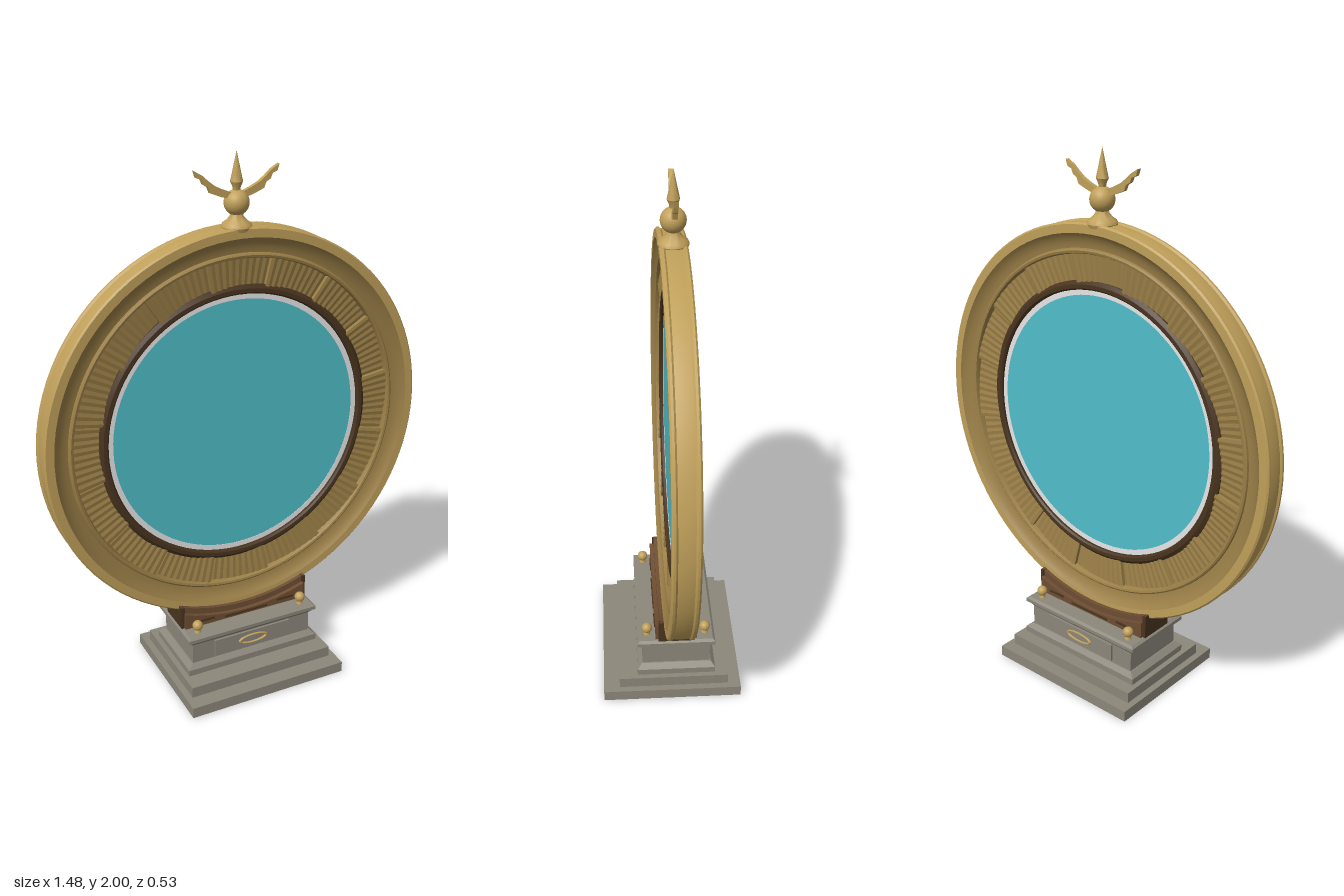
import * as THREE from 'three';
import { toCreasedNormals } from 'three/addons/utils/BufferGeometryUtils.js';

const material = (name, color, side = THREE.FrontSide) => {
  const m = new THREE.MeshStandardMaterial({ color, side });
  m.name = name;
  return m;
};

export function createModel() {
  const gold = material('gold', 0xc0a05a);
  const agedGold = material('aged gold', 0x9c8048, THREE.DoubleSide);
  const stone = material('grey stone', 0x8c877b);
  const wood = material('brown wood', 0x6e4e33);
  const darkWood = material('dark wood', 0x49341f);
  const white = material('white', 0xffffff);
  const teal = material('teal glass', 0x50bdc9);

  const root = new THREE.Group();
  const ringGroup = new THREE.Group();
  ringGroup.name = 'ring';
  const ZC = -0.017, CY = 1.01;
  ringGroup.position.set(0, CY, ZC);
  root.add(ringGroup);

  const add = (parent, name, geo, mat, x = 0, y = 0, z = 0) => {
    const m = new THREE.Mesh(geo, mat);
    m.name = name;
    m.position.set(x, y, z);
    parent.add(m);
    return m;
  };
  const lathe = (pts, seg = 96, crease = 0.6) =>
    toCreasedNormals(new THREE.LatheGeometry(pts.map(p => new THREE.Vector2(...p)), seg), crease);
  // Lathe whose axis is z
  const hoop = pts => lathe(pts).rotateX(Math.PI / 2);

  // Outer rim: lipped edge, closed around the back
  add(ringGroup, 'outerRim', hoop([
    [0.705, -0.048], [0.735, -0.048], [0.741, -0.042], [0.741, -0.034], [0.735, -0.028],
    [0.738, 0], [0.735, 0.028], [0.741, 0.034], [0.741, 0.042], [0.735, 0.048], [0.705, 0.048],
  ]), gold);

  // Both faces are alike: the back is the front turned half round
  for (const side of [0, 1]) {
    const face = new THREE.Group();
    face.name = side ? 'backFace' : 'frontFace';
    face.rotation.y = side * Math.PI;
    ringGroup.add(face);
    add(face, 'cove', hoop([
      [0.706, 0.048], [0.698, 0.041], [0.685, 0.033], [0.667, 0.026], [0.65, 0.024],
    ]), agedGold);
    add(face, 'innerBead', hoop([
      [0.65, 0.022], [0.648, 0.031], [0.642, 0.035], [0.634, 0.033], [0.63, 0.024], [0.627, 0.004],
    ]), agedGold);
    add(face, 'flutedPanels', flutedPanels(16, 0.525, 0.632), agedGold);
  }

  add(ringGroup, 'innerBand', hoop([
    [0.502, -0.018], [0.508, -0.024], [0.522, -0.024], [0.535, -0.014],
    [0.535, 0.014], [0.522, 0.024], [0.508, 0.024], [0.502, 0.018], [0.502, -0.018],
  ]), darkWood);
  add(ringGroup, 'whiteBand', hoop([
    [0.482, -0.009], [0.506, -0.009], [0.506, 0.009], [0.482, 0.009], [0.482, -0.009],
  ]), white);
  add(ringGroup, 'glassDisc', new THREE.CylinderGeometry(0.484, 0.484, 0.016, 96).rotateX(Math.PI / 2), teal);

  // Stone pedestal: stacked straight and tapered blocks [w0, d0, w1, d1, y0, y1, z]
  const block = (w0, d0, w1, d1, h) => {
    const g = new THREE.BoxGeometry(1, h, 1).toNonIndexed();
    const p = g.attributes.position;
    for (let i = 0; i < p.count; i++) {
      const top = p.getY(i) > 0;
      p.setX(i, p.getX(i) * (top ? w1 : w0));
      p.setZ(i, p.getZ(i) * (top ? d1 : d0));
    }
    g.computeVertexNormals();
    return g;
  };
  [
    [0.64, 0.53, 0.64, 0.53, 0, 0.042, 0],
    [0.59, 0.42, 0.59, 0.42, 0.042, 0.084, -0.006],
    [0.55, 0.3, 0.55, 0.3, 0.084, 0.108, ZC],
    [0.55, 0.3, 0.51, 0.268, 0.108, 0.125, ZC],
    [0.5, 0.26, 0.5, 0.26, 0.125, 0.205, ZC],
    [0.5, 0.26, 0.535, 0.29, 0.205, 0.224, ZC],
    [0.545, 0.297, 0.545, 0.297, 0.224, 0.238, ZC],
    [0.545, 0.297, 0.525, 0.28, 0.238, 0.246, ZC],
  ].forEach(([w0, d0, w1, d1, y0, y1, z], i) =>
    add(root, 'pedestalTier' + (i + 1), block(w0, d0, w1, d1, y1 - y0), stone, 0, (y0 + y1) / 2, z));

  for (const s of [1, -1]) {
    add(root, 'pedestalPanel', new THREE.BoxGeometry(0.32, 0.07, 0.009), stone, 0, 0.167, ZC + s * 0.133);
    const oval = add(root, 'ovalOrnament', new THREE.TorusGeometry(0.056, 0.006, 8, 40), gold, 0, 0.17, ZC + s * 0.14);
    oval.scale.y = 0.3;
    // Corner knobs
    for (const x of [-0.22, 0.22]) {
      add(root, 'knobNeck', new THREE.CylinderGeometry(0.008, 0.014, 0.02, 16), gold, x, 0.252, ZC + s * 0.111);
      add(root, 'knob', new THREE.SphereGeometry(0.02, 20, 14), gold, x, 0.275, ZC + s * 0.111);
    }
  }

  // Wooden cradle with an arched seat for the ring
  const cradle = (half, radius, depth) => {
    const a = Math.asin(half / radius);
    const s = new THREE.Shape();
    s.moveTo(-half, 0.245);
    s.lineTo(half, 0.245);
    s.absarc(0, CY, radius, -Math.PI / 2 + a, -Math.PI / 2 - a, true);
    s.closePath();
    return new THREE.ExtrudeGeometry(s, { depth, bevelEnabled: false, curveSegments: 24 })
      .translate(0, 0, -depth / 2);
  };
  add(root, 'cradle', cradle(0.265, 0.722, 0.126), wood, 0, 0, ZC);
  add(root, 'cradleRail', cradle(0.255, 0.745, 0.158), wood, 0, 0, ZC);
  for (const s of [1, -1]) {
    for (const x of [-0.17, 0.17])
      add(root, 'cradleInlay', new THREE.BoxGeometry(0.07, 0.008, 0.006), darkWood, x, 0.268, ZC + s * 0.08);
    add(root, 'cradleInlay', new THREE.BoxGeometry(0.18, 0.007, 0.006), darkWood, 0, 0.258, ZC + s * 0.08);
    for (const x of [-0.26, 0.26])
      add(root, 'cradlePost', new THREE.BoxGeometry(0.014, 0.09, 0.136), darkWood, x, 0.29, ZC);
  }

  // Finial: turned foot, ball, spike and two side blades
  const finial = new THREE.Group();
  finial.name = 'finial';
  finial.position.z = ZC;
  root.add(finial);
  add(finial, 'finialFoot', lathe([
    [0, 1.735], [0.05, 1.735], [0.054, 1.748], [0.05, 1.758], [0.036, 1.768], [0.024, 1.782], [0.02, 1.8], [0, 1.8],
  ], 32), gold);
  add(finial, 'finialBall', new THREE.SphereGeometry(0.044, 32, 20), gold, 0, 1.828);
  add(finial, 'finialSpike', lathe([
    [0.012, 1.862], [0.014, 1.88], [0.022, 1.898], [0.016, 1.925], [0, 2],
  ], 12), gold);
  const blade = [
    [0.025, 1.842], [0.06, 1.852], [0.1, 1.868], [0.108, 1.888], [0.125, 1.898],
    [0.132, 1.915], [0.15, 1.922], [0.157, 1.945], [0.128, 1.928], [0.108, 1.91], [0.085, 1.892], [0.055, 1.877], [0.025, 1.865],
  ];
  for (const s of [1, -1]) {
    const shape = new THREE.Shape(blade.map(([x, y]) => new THREE.Vector2(s * x, y)));
    add(finial, 'sideBlade', new THREE.ExtrudeGeometry(shape, { depth: 0.016, bevelEnabled: false })
      .translate(0, 0, -0.008), gold);
  }
  return root;
}

// Ring of panels, each leaning along the ring and cut with radial flutes
function flutedPanels(count, r0, r1) {
  const pos = [], flutes = 9, step = (Math.PI * 2) / count;
  const at = (r, a, z) => [r * Math.cos(a), r * Math.sin(a), z];
  const quad = (a, b, c, d) => pos.push(...a, ...b, ...c, ...a, ...c, ...d);
  for (let i = 0; i < count; i++) {
    const start = Math.PI / 2 + (i - 0.5) * step;
    let last = null;
    for (let j = 0; j <= flutes * 2; j++) {
      const t = j / (flutes * 2), a = start + t * step;
      const z = 0.008 + 0.014 * t + (j % 2 ? 0.0025 : 0);
      const edge = [at(r0, a, z - 0.004), at(r1, a, z + 0.004)];
      if (last) quad(last[0], last[1], edge[1], edge[0]);
      last = edge;
    }
    // Step down to the next panel
    const end = start + step;
    quad(last[0], last[1], at(r1, end, 0.012), at(r0, end, 0.004));
  }
  // Faces wind towards +z
  for (let k = 0; k < pos.length; k += 9)
    for (let n = 0; n < 3; n++) [pos[k + 3 + n], pos[k + 6 + n]] = [pos[k + 6 + n], pos[k + 3 + n]];
  const g = new THREE.BufferGeometry();
  g.setAttribute('position', new THREE.Float32BufferAttribute(pos, 3));
  g.computeVertexNormals();
  return g;
}
